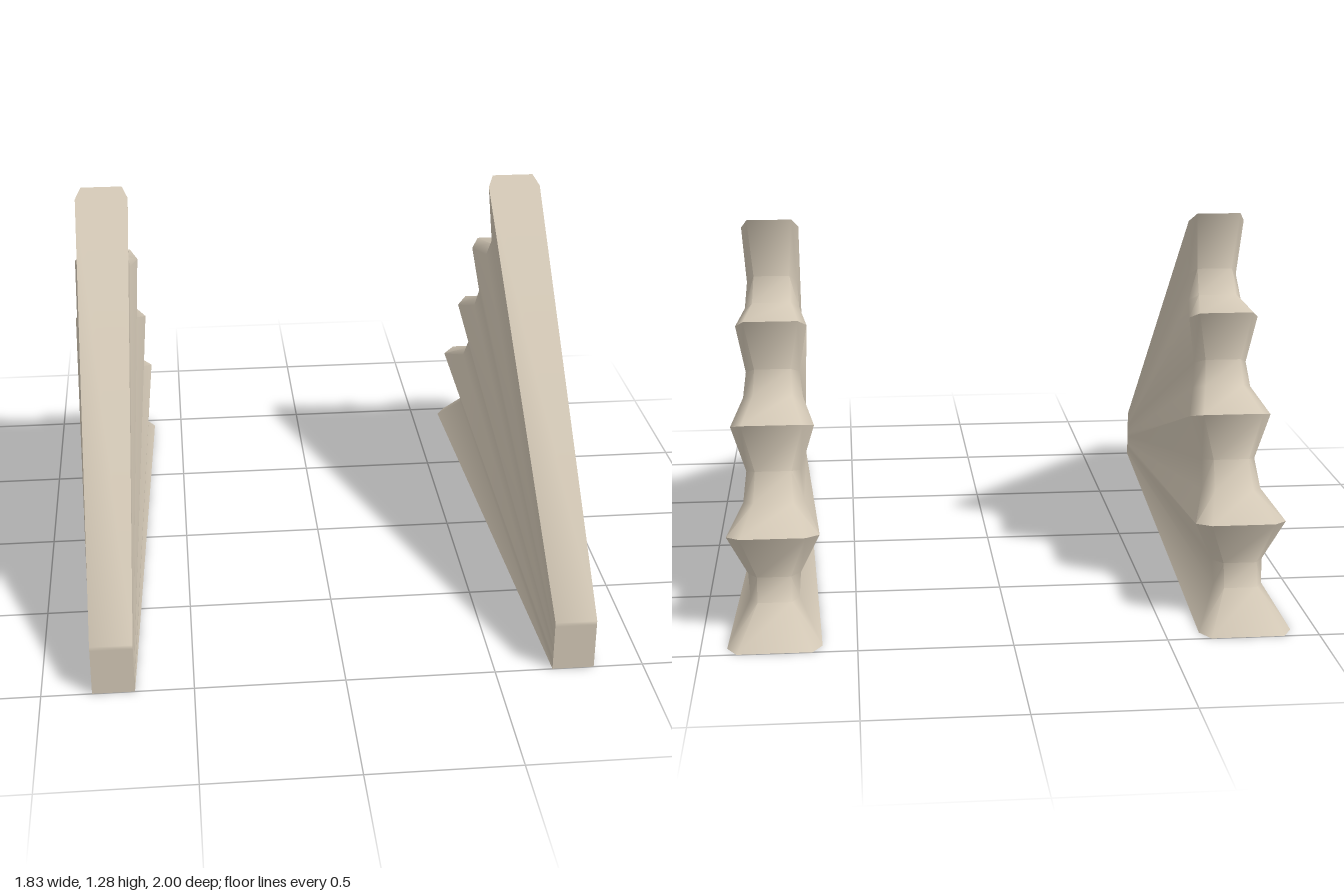
import * as THREE from 'three';
import { toCreasedNormals } from 'three/addons/utils/BufferGeometryUtils.js';

// Rear outline of the fan, bottom to top: z, y, half width of the rear edge, half width of the side
const RIBS = [
  [-1.0, 0.0, 0.12, 0.152],
  [-0.87, 0.12, 0.055, 0.08],
  [-0.85, 0.2, 0.055, 0.085],
  [-0.89, 0.345, 0.105, 0.15],
  [-0.73, 0.41, 0.065, 0.1],
  [-0.67, 0.5, 0.06, 0.09],
  [-0.68, 0.66, 0.1, 0.137],
  [-0.53, 0.72, 0.065, 0.1],
  [-0.49, 0.8, 0.06, 0.09],
  [-0.52, 0.97, 0.09, 0.118],
  [-0.37, 1.0, 0.065, 0.092],
  [-0.31, 1.08, 0.06, 0.085],
  [-0.35, 1.28, 0.075, 0.096],
];
const FRONT_HALF = 0.07, FRONT_HEIGHT = 0.18, BEVEL = 0.05;

function fanGeometry() {
  const positions = [], index = [];
  // Each rib is a six-cornered slice running from the narrow front to the rear edge
  RIBS.forEach(([z, y, inner, outer], i) => {
    const frontY = FRONT_HEIGHT * i / (RIBS.length - 1);
    const t = BEVEL / Math.hypot(1 - z, frontY - y);
    const sideZ = z + (1 - z) * t, sideY = y + (frontY - y) * t;
    positions.push(
      FRONT_HALF, frontY, 1, outer, sideY, sideZ, inner, y, z,
      -inner, y, z, -outer, sideY, sideZ, -FRONT_HALF, frontY, 1);
  });
  // Walls between neighbouring ribs
  for (let i = 0; i < RIBS.length - 1; i++) {
    for (let j = 0; j < 6; j++) {
      const a = i * 6 + j, b = i * 6 + (j + 1) % 6;
      // mirror the diagonal so both sides match
      if (j < 3) index.push(a, b, b + 6, a, b + 6, a + 6);
      else index.push(a, b, a + 6, b, b + 6, a + 6);
    }
  }
  // Flat underside and sloping top
  const top = (RIBS.length - 1) * 6;
  for (let j = 1; j < 5; j++) {
    index.push(0, j + 1, j);
    index.push(top, top + j, top + j + 1);
  }
  const geometry = new THREE.BufferGeometry();
  geometry.setAttribute('position', new THREE.Float32BufferAttribute(positions, 3));
  geometry.setIndex(index);
  return toCreasedNormals(geometry, 1.1);
}

export function createModel() {
  const group = new THREE.Group();
  group.name = 'pleatedFans';
  const material = new THREE.MeshStandardMaterial({ color: 0xd2c7b5 });
  const geometry = fanGeometry();
  for (const [name, x] of [['leftFan', 0.764], ['rightFan', -0.764]]) {
    const fan = new THREE.Mesh(geometry, material);
    fan.name = name;
    fan.position.x = x;
    group.add(fan);
  }
  return group;
}
